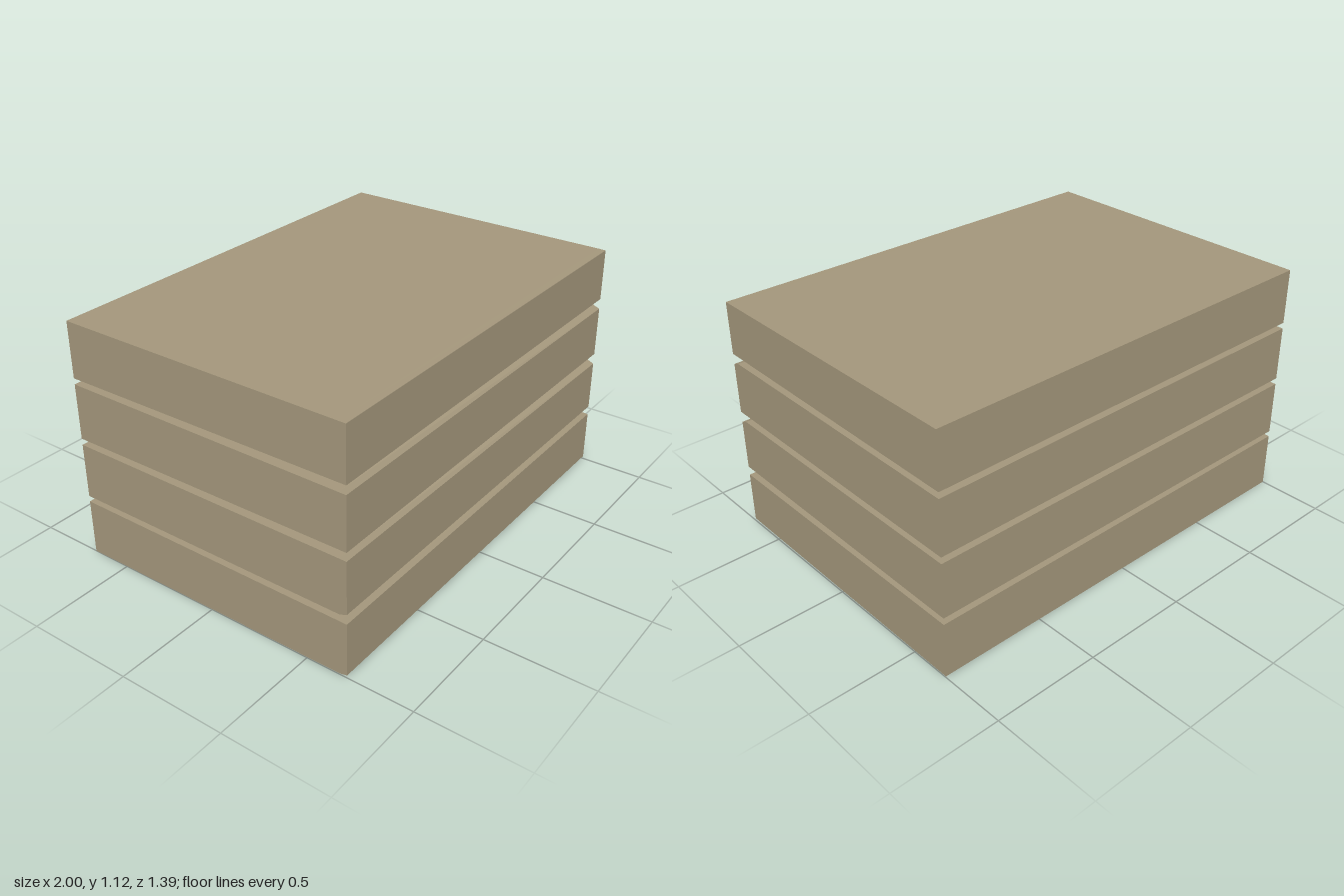
import * as THREE from 'three';

const FRONT = 0.695, BACK = -0.695, CHAMFER = 0.66;

// End profile of a slab: front face bottom/top, inner edge bottom/top, back bottom/top
function profile(x, [frontLow, innerLow, backLow, backHigh, innerHigh, frontHigh]) {
  return [
    [x, frontLow, FRONT], [x, innerLow, CHAMFER], [x, backLow, BACK],
    [x, backHigh, BACK], [x, innerHigh, CHAMFER], [x, frontHigh, FRONT],
  ];
}

// Slab lofted between its left (+x) and right (-x) end profiles, with flat faces
function slabGeometry(rightEnd, leftEnd) {
  const a = profile(-1, rightEnd), b = profile(1, leftEnd), n = a.length;
  const positions = [];
  const tri = (...corners) => corners.forEach((c) => positions.push(...c));
  for (let i = 0; i < n; i++) {
    const j = (i + 1) % n;
    tri(a[i], a[j], b[j]);
    tri(a[i], b[j], b[i]);
  }
  for (let i = 1; i < n - 1; i++) {
    tri(b[0], b[i], b[i + 1]);
    tri(a[0], a[i + 1], a[i]);
  }
  const geometry = new THREE.BufferGeometry();
  geometry.setAttribute('position', new THREE.Float32BufferAttribute(positions, 3));
  geometry.computeVertexNormals();
  return geometry;
}

export function createModel() {
  const group = new THREE.Group();
  group.name = 'slabStack';
  const stone = new THREE.MeshStandardMaterial({ color: 0xa3967b, flatShading: true });
  stone.name = 'tan stone';

  // Heights of each slab's profile at x = -1 and x = 1, slightly uneven and worn
  const slabs = [
    ['bottomSlab',
      [0.012, 0.004, 0.0, 0.262, 0.258, 0.258],
      [0.013, 0.013, 0.005, 0.264, 0.257, 0.256]],
    ['lowerMiddleSlab',
      [0.303, 0.29, 0.29, 0.547, 0.545, 0.545],
      [0.299, 0.299, 0.295, 0.551, 0.55, 0.535]],
    ['upperMiddleSlab',
      [0.584, 0.584, 0.577, 0.835, 0.83, 0.83],
      [0.587, 0.587, 0.581, 0.838, 0.838, 0.825]],
    ['topSlab',
      [0.87, 0.87, 0.863, 1.121, 1.116, 1.116],
      [0.874, 0.874, 0.867, 1.125, 1.118, 1.117]],
  ];
  for (const [name, rightEnd, leftEnd] of slabs) {
    const slab = new THREE.Mesh(slabGeometry(rightEnd, leftEnd), stone);
    slab.name = name;
    group.add(slab);
  }
  return group;
}
